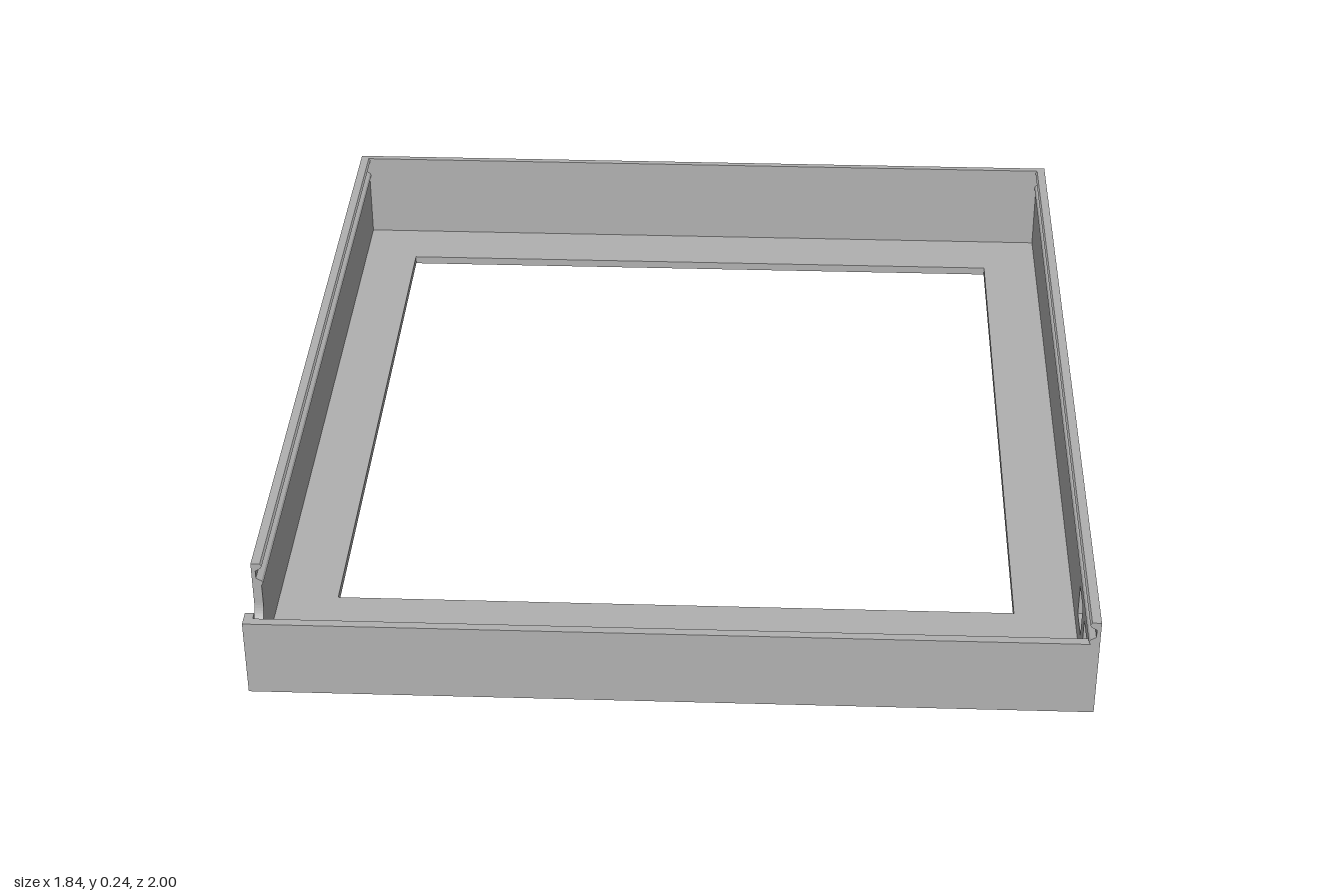
import * as THREE from 'three';

const W = 0.918, IN = 0.898, H = 0.241, LOW = 0.184, FLOOR = 0.02;
const BACK = -0.985, FRONT = 0.98;

export function createModel() {
  const group = new THREE.Group();
  const grey = new THREE.MeshStandardMaterial({ color: 0xb0b0b0 });
  grey.name = 'plain grey';

  const add = (name, geometry) => {
    const mesh = new THREE.Mesh(geometry, grey);
    mesh.name = name;
    group.add(mesh);
    return mesh;
  };
  const extrude = (shape, depth) =>
    new THREE.ExtrudeGeometry(shape, { depth, bevelEnabled: false, curveSegments: 12 });
  const rectangle = (a, b, c, d, Type = THREE.Shape) =>
    new Type([[a, b], [c, b], [c, d], [a, d]].map(p => new THREE.Vector2(...p)));
  const box = (name, x0, x1, y0, y1, z0, z1) =>
    add(name, new THREE.BoxGeometry(x1 - x0, y1 - y0, z1 - z0))
      .position.set((x0 + x1) / 2, (y0 + y1) / 2, (z0 + z1) / 2);

  // Floor frame with the large opening (shape y becomes -z)
  const floor = rectangle(-IN, -FRONT, IN, -BACK);
  floor.holes.push(rectangle(-0.765, -0.68, 0.762, 0.845, THREE.Path));
  add('floorFrame', extrude(floor, FLOOR)).rotation.x = -Math.PI / 2;

  // Tall back wall and low front wall
  box('backWall', -W, W, 0, H, -1, BACK);
  box('frontWall', -W, W, 0, LOW, FRONT, 1);

  // Side plates, drawn in z and y and extruded across the wall
  const sidePlate = (name, shape, outerX) => {
    const mesh = add(name, extrude(shape, W - IN));
    mesh.rotation.y = -Math.PI / 2;
    mesh.position.x = outerX;
  };

  // Left wall with two square ports
  const left = rectangle(BACK, 0, FRONT, LOW);
  for (const [z0, z1] of [[0.735, 0.812], [0.86, 0.938]]) {
    left.holes.push(rectangle(z0, 0.065, z1, 0.14, THREE.Path));
  }
  sidePlate('leftWall', left, W);

  // Right wall with a round-bottomed cable notch
  const right = new THREE.Shape();
  right.moveTo(BACK, 0);
  right.lineTo(FRONT, 0);
  right.lineTo(FRONT, LOW);
  right.lineTo(0.96, LOW);
  right.lineTo(0.96, 0.136);
  right.absarc(0.91, 0.136, 0.05, 0, -Math.PI, true);
  right.lineTo(0.86, LOW);
  right.lineTo(BACK, LOW);
  sidePlate('rightWall', right, -IN);

  // Grooved rails along the side wall tops, holding a sliding lid
  const profile = [
    [W, LOW], [IN, LOW], [0.894, 0.19], [0.897, 0.196], [0.909, 0.203],
    [0.909, 0.222], [0.897, 0.229], [0.894, 0.235], [0.898, H], [W, H],
  ];
  const rail = (name, side, end) => {
    const shape = new THREE.Shape(profile.map(([x, y]) => new THREE.Vector2(side * x, y)));
    add(name, extrude(shape, end - BACK)).position.z = BACK;
  };
  rail('leftRail', 1, 1);
  rail('rightRail', -1, 0.86);

  return group;
}
